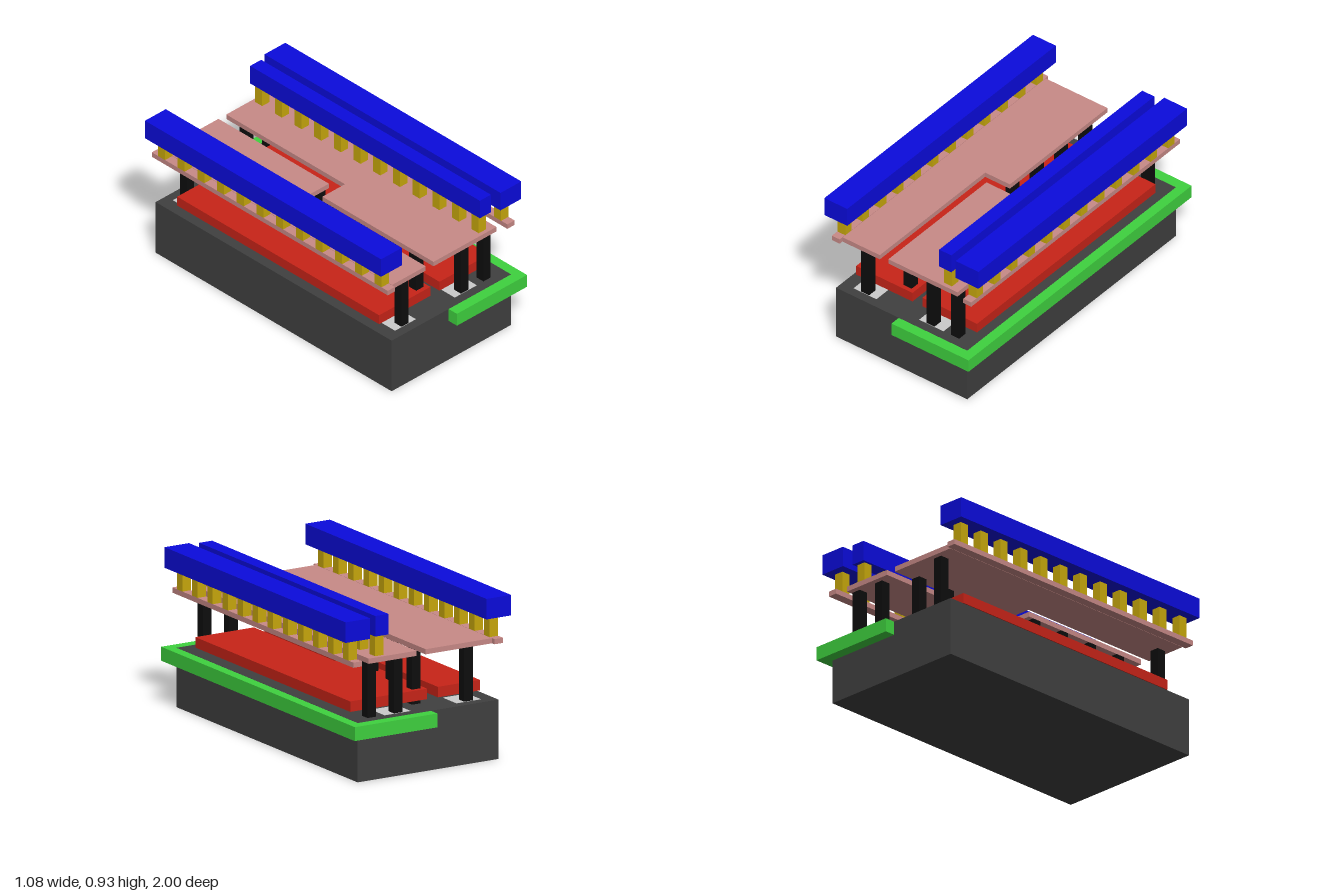
import * as THREE from 'three';

const mat = (color) => new THREE.MeshStandardMaterial({ color });
const DARK = mat(0x404040), GREEN = mat(0x3fd23f), RED = mat(0xc82418), PINK = mat(0xc88a87);
const BLACK = mat(0x0d0d0d), GOLD = mat(0xc8a80c), BLUE = mat(0x0b0bdd), GREY = mat(0xcccccc);

export function createModel() {
  const model = new THREE.Group();

  // Box given by its extents on each axis
  function box(name, material, [x0, x1], [y0, y1], [z0, z1]) {
    const mesh = new THREE.Mesh(new THREE.BoxGeometry(x1 - x0, y1 - y0, z1 - z0), material);
    mesh.position.set((x0 + x1) / 2, (y0 + y1) / 2, (z0 + z1) / 2);
    mesh.name = name;
    model.add(mesh);
  }

  // Horizontal slab from an outline of [x, z] corners
  function slab(name, material, outline, y0, y1) {
    const shape = new THREE.Shape(outline.map(([x, z]) => new THREE.Vector2(x, -z)));
    const geometry = new THREE.ExtrudeGeometry(shape, { depth: y1 - y0, bevelEnabled: false });
    geometry.rotateX(-Math.PI / 2);
    const mesh = new THREE.Mesh(geometry, material);
    mesh.position.y = y0;
    mesh.name = name;
    model.add(mesh);
  }

  // Stepped slab: inner edge at xFront ahead of zStep and at xBack behind it
  function steppedSlab(name, material, xOuter, xFront, xBack, zStep, zEnd, y0, y1) {
    slab(name, material, [
      [xOuter, zEnd], [xFront, zEnd], [xFront, zStep],
      [xBack, zStep], [xBack, -zEnd], [xOuter, -zEnd],
    ], y0, y1);
  }

  // Base block with the flush side tray
  box('base', DARK, [-0.46, 0.46], [0, 0.3405], [-0.935, 0.935]);
  box('sideTray', GREEN, [-0.02, 0.52], [0.26, 0.34], [-1, 1]);

  // Thin contact pads at the ends of the base
  for (const s of [-1, 1]) {
    const z = s > 0 ? [0.74, 0.88] : [-0.88, -0.74];
    box('rightPad', GREY, [-0.38, -0.22], [0.338, 0.342], z);
    box('leftPad', GREY, [0.08, 0.25], [0.338, 0.342], z);
  }

  // Interlocking lower slabs
  steppedSlab('rightLowerSlab', RED, -0.425, -0.03, -0.15, 0.03, 0.8, 0.367, 0.427);
  steppedSlab('leftLowerSlab', RED, 0.423, 0.04, -0.08, -0.035, 0.8, 0.367, 0.427);

  // Interlocking upper plates and the rails beside them
  steppedSlab('rightUpperPlate', PINK, -0.433, -0.173, 0, -0.035, 0.91, 0.66, 0.69);
  steppedSlab('leftUpperPlate', PINK, 0.372, -0.113, 0.06, 0.03, 0.91, 0.66, 0.69);
  box('rightRail', PINK, [-0.49, -0.435], [0.66, 0.69], [-0.935, 0.935]);
  box('leftRail', PINK, [0.432, 0.488], [0.66, 0.69], [-0.935, 0.935]);

  // Dark posts: corner posts, then one inner row per half
  const post = (x, z) =>
    box('post', BLACK, [x - 0.028, x + 0.028], [0.34, 0.66], [z - 0.028, z + 0.028]);
  for (const s of [-1, 1]) {
    for (const x of [-0.301, 0.158, 0.331]) post(x, s * 0.85);
    for (const z of [0.745, 0.527, 0.309, 0.091]) post(s > 0 ? -0.085 : -0.026, s * z);
  }

  // Gold pegs carrying the top beams
  for (const x of [-0.462, 0.287, 0.46]) {
    for (let i = 0; i < 12; i++) {
      const z = -0.858 + i * 0.156;
      box('peg', GOLD, [x - 0.028, x + 0.028], [0.69, 0.81], [z - 0.028, z + 0.028]);
    }
  }

  // Top beams
  box('rightBeam', BLUE, [-0.542, -0.382], [0.81, 0.928], [-0.935, 0.935]);
  box('middleBeam', BLUE, [0.244, 0.329], [0.81, 0.928], [-0.91, 0.91]);
  box('leftBeam', BLUE, [0.379, 0.539], [0.81, 0.928], [-0.935, 0.935]);

  return model;
}
